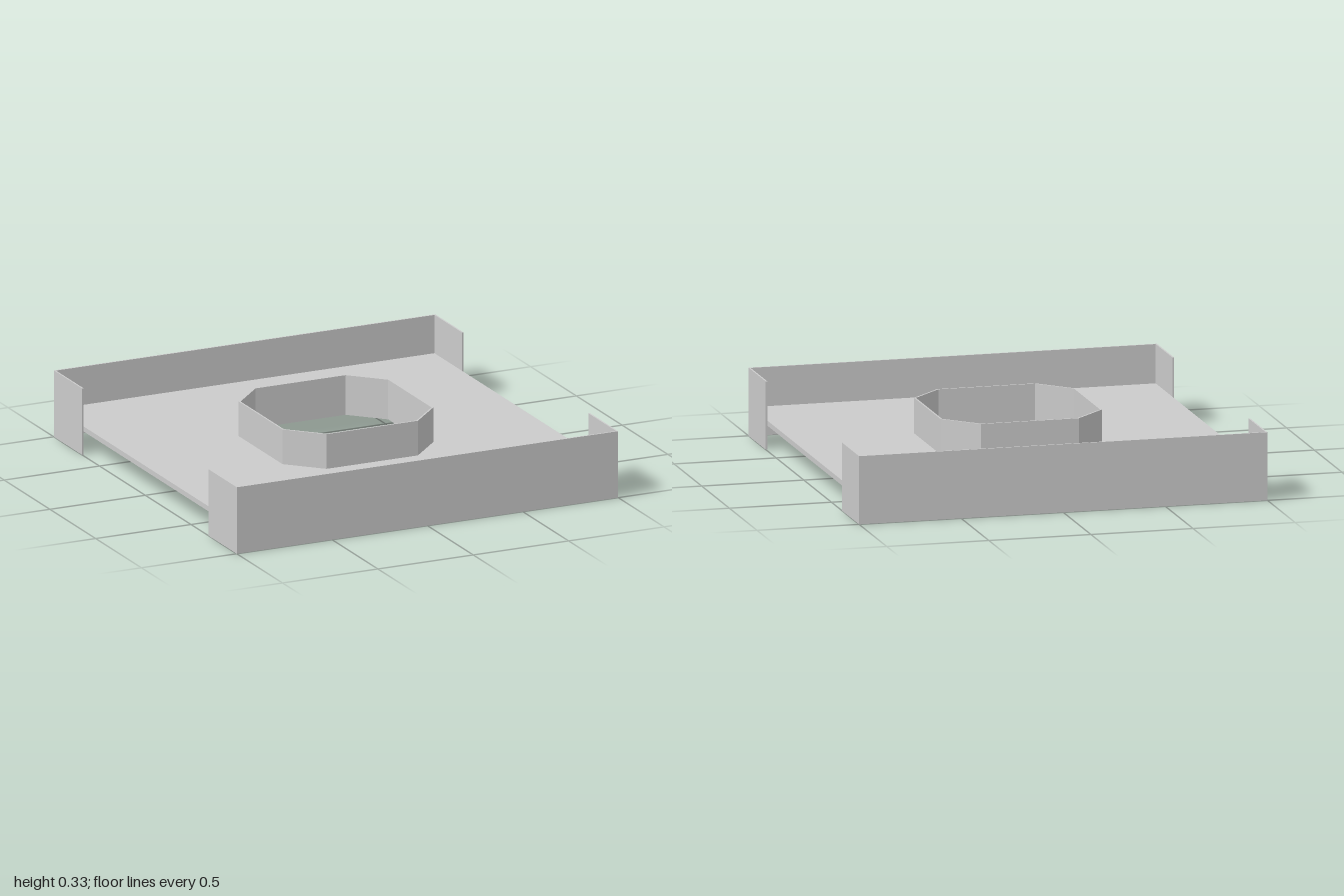
import * as THREE from 'three';

const material = new THREE.MeshStandardMaterial({ color: 0xcccccc, flatShading: true });

const toPoints = (list) => list.map(([x, y]) => new THREE.Vector2(x, y));

// Square with cut corners: half width h, corner start c
const octagon = (h, c) => toPoints([
  [h, -c], [h, c], [c, h], [-c, h], [-h, c], [-h, -c], [-c, -h], [c, -h],
]);

// Plan outline (x, -z) raised from y0 to y1
function slab(name, outline, hole, y0, y1) {
  const shape = new THREE.Shape(outline);
  if (hole) shape.holes.push(new THREE.Path(hole));
  const geometry = new THREE.ExtrudeGeometry(shape, { depth: y1 - y0, bevelEnabled: false });
  geometry.rotateX(-Math.PI / 2).translate(0, y0, 0);
  const mesh = new THREE.Mesh(geometry, material);
  mesh.name = name;
  return mesh;
}

export function createModel() {
  const model = new THREE.Group();
  model.name = 'ventedTray';

  const wall = 0.008; // sheet thickness
  const inner = 1 - wall;
  const lip = 0.69; // where the side returns end
  const opening = octagon(0.387, 0.236);

  // Base plate with octagonal opening
  const square = toPoints([[-inner, -inner], [inner, -inner], [inner, inner], [-inner, inner]]);
  model.add(slab('basePlate', square, opening, 0.115, 0.14));

  // Upright collar around the opening
  model.add(slab('collar', octagon(0.395, 0.24), opening, 0.115, 0.312));

  // C-shaped end walls with short returns along the sides
  const channel = toPoints([
    [-1, -1], [1, -1], [1, -lip], [inner, -lip],
    [inner, -inner], [-inner, -inner], [-inner, -lip], [-1, -lip],
  ]);
  for (const [name, turn] of [['frontWall', 0], ['backWall', Math.PI]]) {
    const end = slab(name, channel, null, 0, 0.33);
    end.rotation.y = turn;
    model.add(end);
  }
  return model;
}
